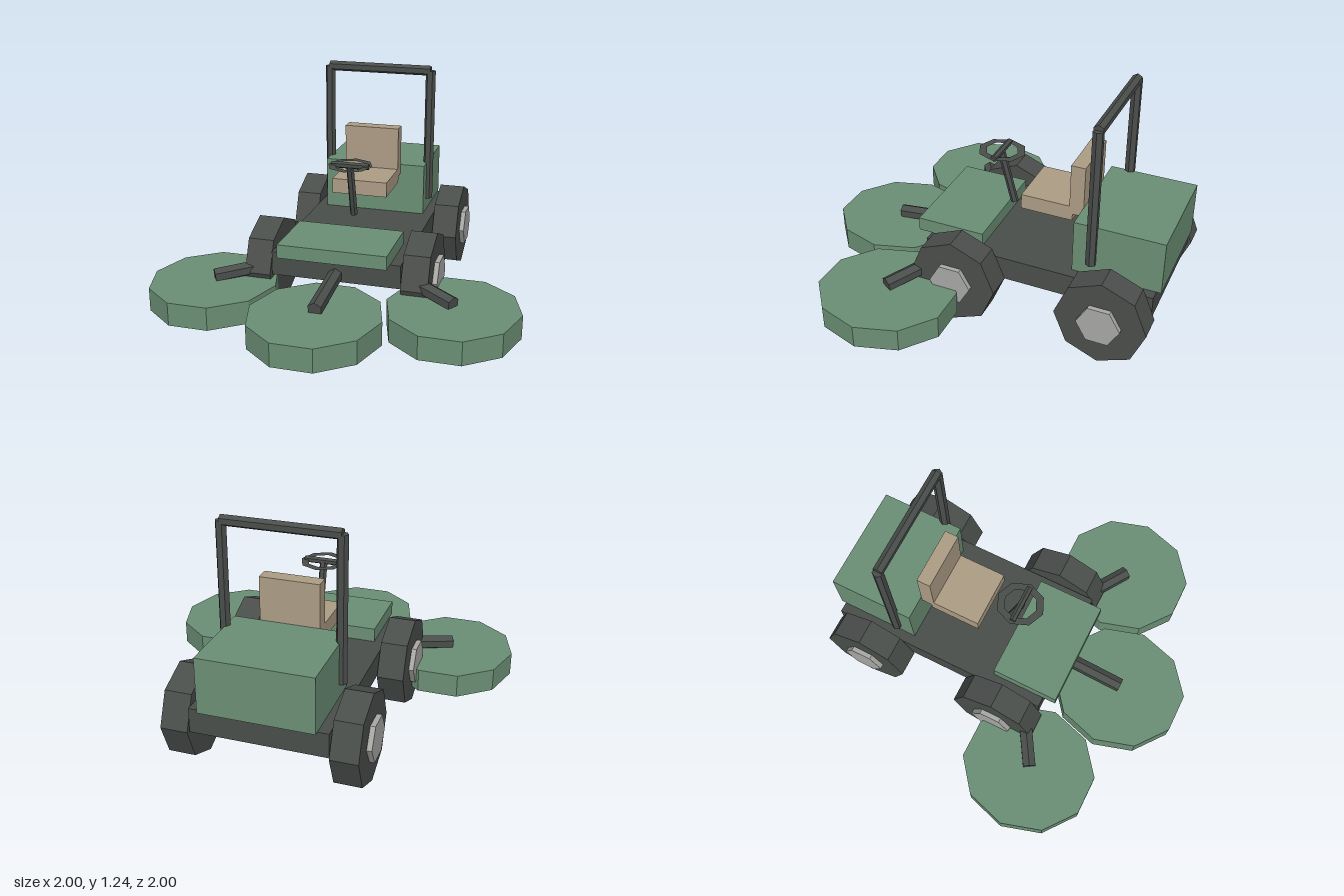
import * as THREE from 'three';

const material = (color) => new THREE.MeshStandardMaterial({ color, flatShading: true });

export function createModel() {
  const model = new THREE.Group();
  const green = material(0x6b8f75);
  const dark = material(0x4a4e4b);
  const tan = material(0xad9d85);
  const metal = material(0xa8a8a5);

  const add = (name, geometry, mat, x = 0, y = 0, z = 0) => {
    const mesh = new THREE.Mesh(geometry, mat);
    mesh.name = name;
    mesh.position.set(x, y, z);
    model.add(mesh);
    return mesh;
  };

  // Box from its half width and its y and z limits
  const box = (name, mat, halfWidth, y0, y1, z0, z1) =>
    add(name, new THREE.BoxGeometry(halfWidth * 2, y1 - y0, z1 - z0), mat, 0, (y0 + y1) / 2, (z0 + z1) / 2);

  // Six-sided bar between two points, with one of its edges facing the hint direction
  const rod = (name, from, to, radius, hint) => {
    const a = new THREE.Vector3(...from);
    const b = new THREE.Vector3(...to);
    const axis = b.clone().sub(a);
    const length = axis.length();
    axis.normalize();
    const side = new THREE.Vector3(...hint);
    side.addScaledVector(axis, -side.dot(axis)).normalize();
    const third = side.clone().cross(axis);
    const geometry = new THREE.CylinderGeometry(radius, radius, length, 6).rotateY(Math.PI / 2);
    geometry.applyMatrix4(new THREE.Matrix4().makeBasis(side, axis, third));
    const mid = a.add(b).multiplyScalar(0.5);
    add(name, geometry, dark, mid.x, mid.y, mid.z);
  };
  const UP = [0, 1, 0];
  const ACROSS = [1, 0, 0];

  // Body
  box('chassis', dark, 0.355, 0.24, 0.37, -0.975, 0.29);
  box('engineCover', green, 0.298, 0.37, 0.665, -1, -0.523);
  box('frontCowl', green, 0.298, 0.37, 0.445, -0.015, 0.365);

  // Seat
  box('seatCushion', tan, 0.158, 0.573, 0.657, -0.465, -0.178);
  box('seatBack', tan, 0.158, 0.612, 0.9, -0.525, -0.447);

  // Steering column and flat octagonal steering wheel
  rod('steeringColumn', [0, 0.497, -0.073], [0, 0.795, 0.007], 0.021, ACROSS);
  rod('steeringSpoke', [-0.104, 0.8, 0.005], [0.104, 0.8, 0.005], 0.018, UP);
  const rim = new THREE.RingGeometry(0.084, 0.124, 8, 1).rotateX(-Math.PI / 2).scale(1, 1, 1.07);
  const rimMaterial = material(0x4a4e4b);
  rimMaterial.side = THREE.DoubleSide;
  add('steeringWheel', rim, rimMaterial, 0, 0.8, 0.002);

  // Roll bar
  for (const s of [-1, 1]) {
    rod('rollBarPost', [s * 0.303, 0.442, -0.625], [s * 0.303, 1.213, -0.625], 0.029, ACROSS);
  }
  rod('rollBarTop', [-0.304, 1.213, -0.625], [0.304, 1.213, -0.625], 0.029, UP);

  // Wheels with hexagonal hubs
  for (const s of [-1, 1]) {
    for (const z of [0.072, -0.75]) {
      const tyre = new THREE.CylinderGeometry(0.244, 0.244, 0.143, 8).rotateZ(Math.PI / 2);
      add('tyre', tyre, dark, s * 0.431, 0.244, z);
      const hub = new THREE.CylinderGeometry(0.116, 0.116, 0.168, 6).rotateZ(Math.PI / 2);
      add('hub', hub, metal, s * 0.445, 0.244, z);
    }
  }

  // Cutting decks, one in front and one on each side, with their arms
  const deck = (x, z) => {
    const geometry = new THREE.CylinderGeometry(0.348, 0.348, 0.127, 10);
    geometry.rotateY(Math.PI / 2).scale(1, 1, 1.08);
    add('cuttingDeck', geometry, green, x, 0.153, z);
  };
  deck(0, 0.639);
  rod('frontArm', [0, 0.278, 0.26], [0, 0.235, 0.64], 0.04, UP);
  for (const s of [-1, 1]) {
    deck(s * 0.652, 0.378);
    rod('sideArm', [s * 0.3, 0.278, 0.165], [s * 0.651, 0.235, 0.382], 0.04, UP);
  }
  return model;
}
